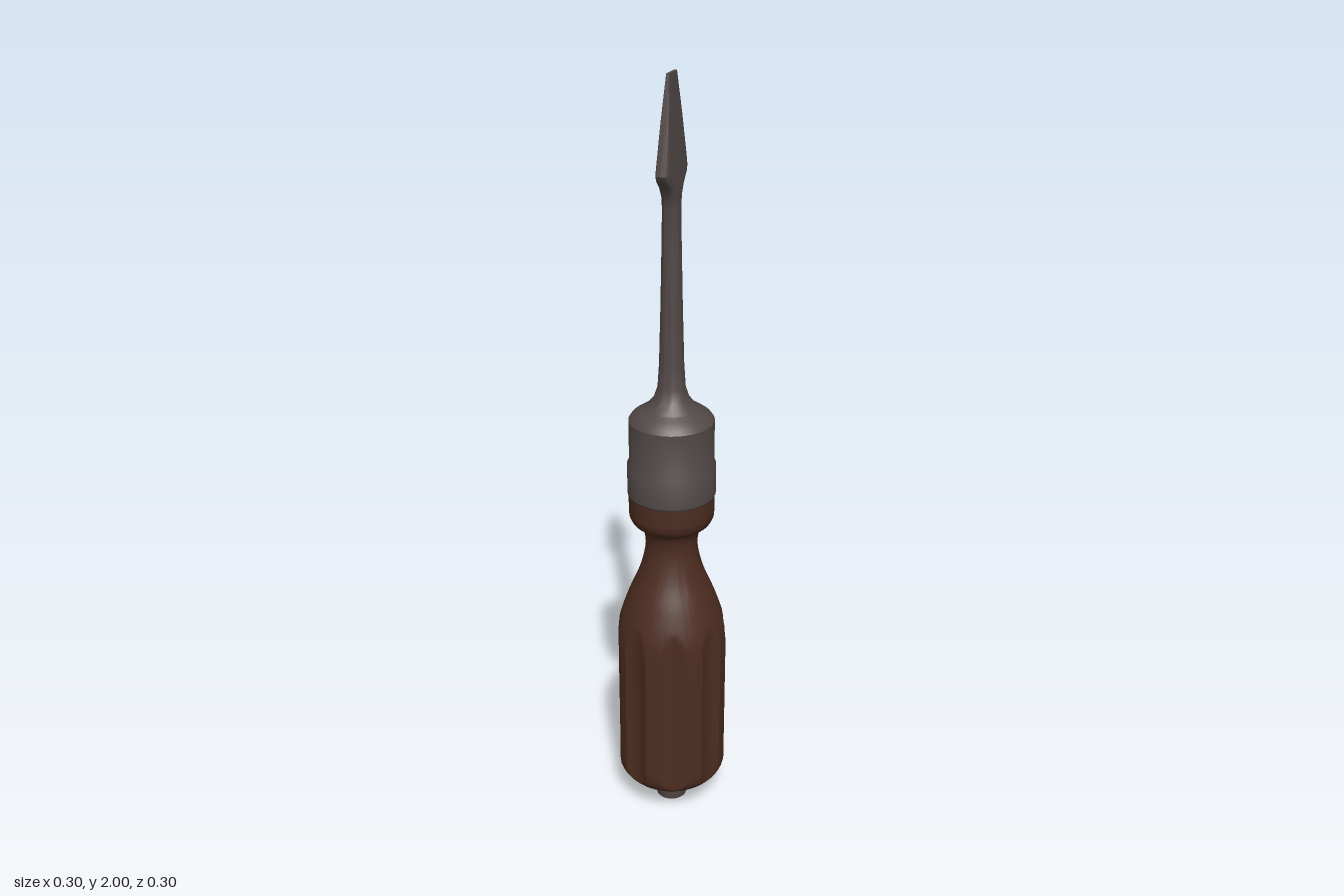
import * as THREE from 'three';
import { toCreasedNormals } from 'three/addons/utils/BufferGeometryUtils.js';

const wood = new THREE.MeshStandardMaterial({ color: 0x4d2d21 });
wood.name = 'dark brown wood';
const steel = new THREE.MeshStandardMaterial({ color: 0x524948 });
steel.name = 'dark steel';

const toPoints = (list) => list.map(([r, y]) => new THREE.Vector2(r, y));

function addPart(group, name, geometry, material) {
  const mesh = new THREE.Mesh(geometry, material);
  mesh.name = name;
  group.add(mesh);
  return mesh;
}

function turned(list, segments = 48) {
  return toCreasedNormals(new THREE.LatheGeometry(toPoints(list), segments), 0.5);
}

// Turned grip with eight flutes scooped out of its widest part
function gripGeometry() {
  const curve = new THREE.SplineCurve(toPoints([
    [0.046, 0.058], [0.075, 0.068], [0.112, 0.082], [0.138, 0.108], [0.147, 0.14], [0.147, 0.2],
    [0.147, 0.35], [0.147, 0.48], [0.146, 0.53], [0.138, 0.58], [0.115, 0.65], [0.086, 0.72],
    [0.07, 0.78], [0.068, 0.82], [0.078, 0.852], [0.1, 0.87], [0.109, 0.888],
  ]));
  const profile = [...curve.getPoints(80), ...toPoints([[0.11, 0.9], [0.11, 0.95]])];
  const geometry = new THREE.LatheGeometry(profile, 128);
  const pos = geometry.attributes.position;
  const step = Math.PI / 4, offset = THREE.MathUtils.degToRad(28), halfWidth = 0.25;
  for (let i = 0; i < pos.count; i++) {
    const x = pos.getX(i), z = pos.getZ(i);
    const a = (Math.atan2(-z, x) - offset) / step;
    const d = (a - Math.round(a)) * step / halfWidth;
    const limit = 0.148 - 0.014 * Math.max(0, 1 - d * d);
    const k = Math.min(1, limit / Math.hypot(x, z));
    pos.setX(i, x * k);
    pos.setZ(i, z * k);
  }
  return toCreasedNormals(geometry, 0.5);
}

// Round shank flowing into a flat tapered blade.
// Section: [y, half width, half thickness, squareness from 0 to 1]
function shankGeometry() {
  const sections = [
    [1.17, 0.085, 0.085, 0], [1.19, 0.062, 0.062, 0], [1.21, 0.045, 0.045, 0],
    [1.24, 0.035, 0.035, 0], [1.3, 0.031, 0.031, 0], [1.45, 0.027, 0.027, 0],
    [1.6, 0.024, 0.024, 0], [1.69, 0.024, 0.022, 0.1], [1.72, 0.031, 0.021, 0.35],
    [1.745, 0.047, 0.02, 0.6], [1.765, 0.066, 0.019, 0.8], [1.778, 0.072, 0.018, 0.85],
    [1.8, 0.067, 0.017, 0.9], [1.9, 0.047, 0.011, 1], [2, 0.027, 0.004, 1],
  ];
  const n = 32, verts = [], index = [];
  for (const [y, w, t, square] of sections) {
    const e = 1 - 0.75 * square;
    for (let j = 0; j < n; j++) {
      const a = (j / n) * Math.PI * 2, c = Math.cos(a), s = Math.sin(a);
      verts.push(w * Math.sign(c) * Math.abs(c) ** e, y, t * Math.sign(s) * Math.abs(s) ** e);
    }
  }
  for (let i = 0; i < sections.length - 1; i++) {
    for (let j = 0; j < n; j++) {
      const a = i * n + j, b = i * n + (j + 1) % n;
      index.push(a, a + n, b, b, a + n, b + n);
    }
  }
  // Flat end of the tip
  const last = (sections.length - 1) * n, centre = verts.length / 3;
  verts.push(0, 2, 0);
  for (let j = 0; j < n; j++) index.push(last + j, centre, last + (j + 1) % n);
  const geometry = new THREE.BufferGeometry();
  geometry.setAttribute('position', new THREE.Float32BufferAttribute(verts, 3));
  geometry.setIndex(index);
  return toCreasedNormals(geometry, 0.5);
}

export function createModel() {
  const model = new THREE.Group();
  model.name = 'screwdriver';

  // Butt of the tang below the grip
  addPart(model, 'endCap', turned([[0, 0], [0.041, 0], [0.049, 0.045], [0.049, 0.07], [0, 0.07]]), steel);

  addPart(model, 'grip', gripGeometry(), wood);

  // Collar with a slightly wider lower band and a sloped shoulder
  addPart(model, 'ferrule', turned([
    [0, 0.945], [0.109, 0.945], [0.113, 0.952], [0.113, 1.03], [0.108, 1.04],
    [0.108, 1.152], [0.1, 1.163], [0.083, 1.175], [0.06, 1.19], [0, 1.19],
  ]), steel);

  const shank = addPart(model, 'shankAndBlade', shankGeometry(), steel);
  shank.rotation.y = 0.88;

  return model;
}
